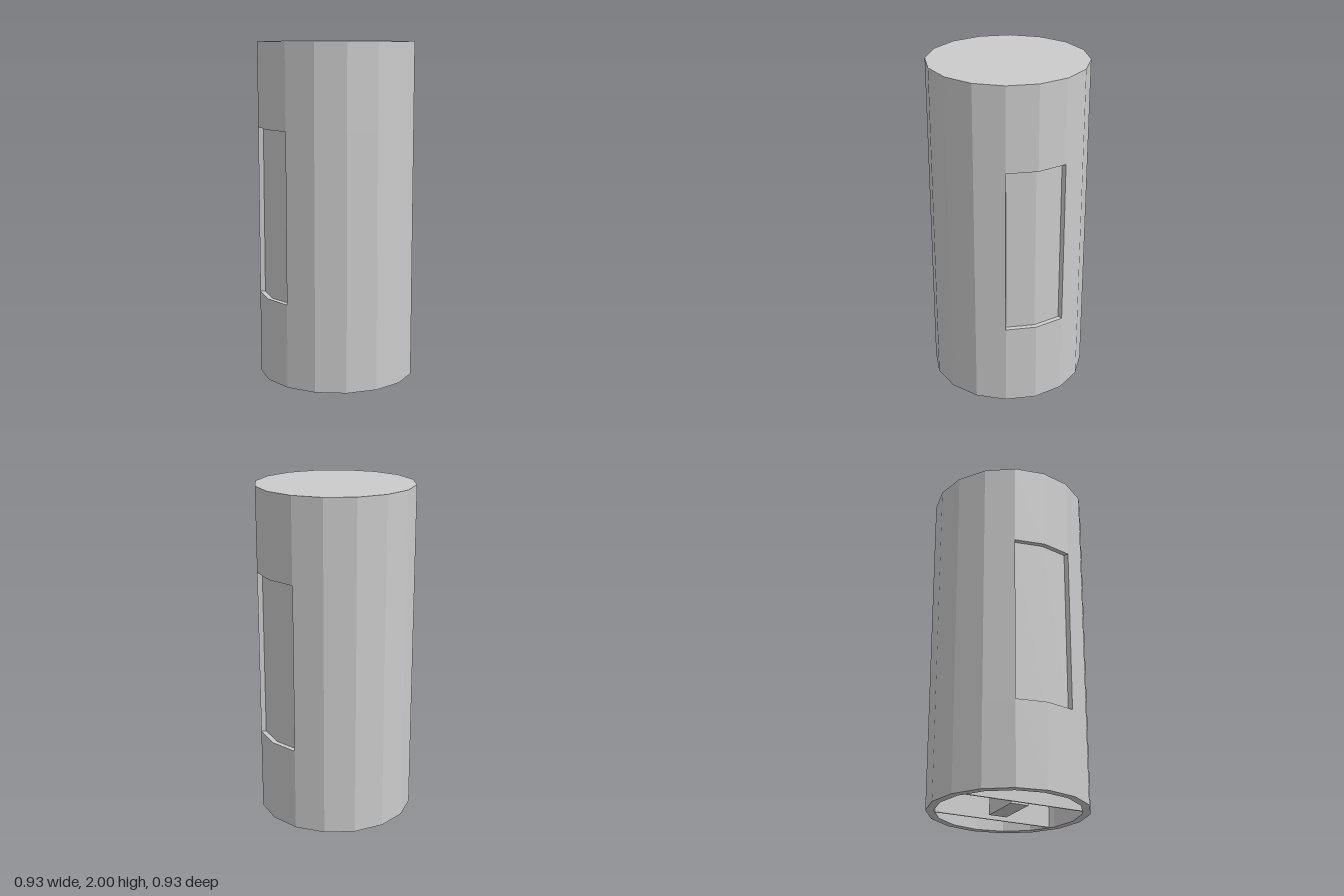
import * as THREE from 'three';

const SIDES = 16, STEP = (Math.PI * 2) / SIDES;
const OUTER = 0.467, PANEL = 0.437, INNER = 0.42;
const HEIGHT = 2, RECESS_LOW = 0.5, RECESS_HIGH = 1.5, CAP = 0.03;

const mat = new THREE.MeshStandardMaterial({ color: 0xcccccc, flatShading: true });

// Corners of the 16-sided outline, from facet corner a to facet corner b
function corners(r, a, b) {
  const pts = [];
  for (let i = a; i <= b; i++) {
    pts.push(new THREE.Vector2(r * Math.cos(i * STEP), r * Math.sin(i * STEP)));
  }
  return pts;
}

function fullShape(rOut, rIn) {
  const shape = new THREE.Shape(corners(rOut, 0, SIDES - 1));
  if (rIn) shape.holes.push(new THREE.Path(corners(rIn, 0, SIDES - 1)));
  return shape;
}

function createMesh(name, geometry) {
  const mesh = new THREE.Mesh(geometry, mat);
  mesh.name = name;
  return mesh;
}

// Raises a plan shape from y0 to y1
function raise(name, shape, y0, y1) {
  const geo = new THREE.ExtrudeGeometry(shape, { depth: y1 - y0, bevelEnabled: false });
  geo.rotateX(-Math.PI / 2);
  geo.translate(0, y0, 0);
  return createMesh(name, geo);
}

function box(name, w, h, d, x, y, z) {
  const mesh = createMesh(name, new THREE.BoxGeometry(w, h, d));
  mesh.position.set(x, y, z);
  return mesh;
}

export function createModel() {
  const group = new THREE.Group();
  group.name = 'cylinder';

  // Shell: full bands below and above the recesses, closed on top
  group.add(raise('lowerWall', fullShape(OUTER, INNER), 0, RECESS_LOW));
  group.add(raise('recessedPanels', fullShape(PANEL, INNER), RECESS_LOW, RECESS_HIGH));
  group.add(raise('upperWall', fullShape(OUTER, INNER), RECESS_HIGH, HEIGHT - CAP));
  group.add(raise('topCap', fullShape(OUTER), HEIGHT - CAP, HEIGHT));

  // Front and back walls between the two side recesses
  for (const [name, start] of [['backWall', 1], ['frontWall', 9]]) {
    const outline = corners(OUTER, start, start + 6)
      .concat(corners(PANEL - 0.002, start, start + 6).reverse());
    group.add(raise(name, new THREE.Shape(outline), RECESS_LOW, RECESS_HIGH));
  }

  // Thin partitions inside, one on each side
  for (const side of [-1, 1]) {
    group.add(box('partition', 0.01, HEIGHT - CAP - 0.005, 0.78,
      side * 0.195, (HEIGHT - CAP) / 2, 0));
  }

  // Inner core with a small knob on its back face
  group.add(box('innerCore', 0.27, 1.95, 0.11, 0, 0.985, 0));
  const knob = createMesh('knob', new THREE.CylinderGeometry(0.02, 0.02, 0.04, 8));
  knob.rotation.x = Math.PI / 2;
  knob.position.set(-0.08, 0.22, -0.07);
  group.add(knob);

  return group;
}
